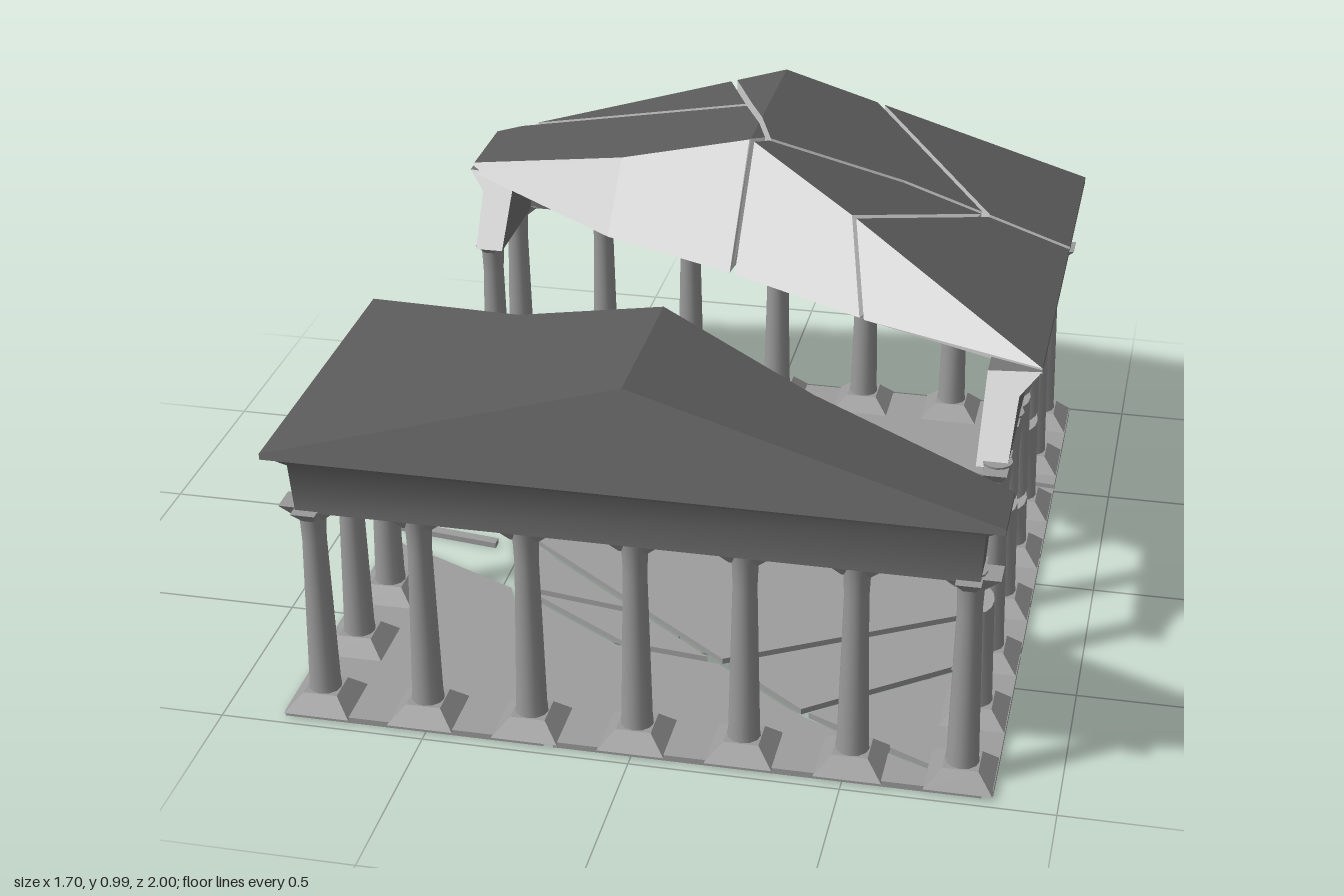
import * as THREE from 'three';
import { toCreasedNormals } from 'three/addons/utils/BufferGeometryUtils.js';

const paint = (color) => new THREE.MeshStandardMaterial({ color });
const broken = paint(0xcccccc), stone = paint(0x9a9a9a), floorStone = paint(0x9e9e9e);
const frieze = paint(0x767676), gable = paint(0x767676), tiles = paint(0x5a5a5a);

const X = 0.77, Z = 0.92;                        // lines of the beams
const roofY = (x) => 0.985 - 0.3 * Math.abs(x);  // gable slope

function add(group, name, geometry, material, x = 0, y = 0, z = 0) {
  const mesh = new THREE.Mesh(geometry, material);
  mesh.name = name;
  mesh.position.set(x, y, z);
  group.add(mesh);
}

// Closed solid between two matching loops, returned as one geometry per part.
// partOf receives 'top', 'bottom' or the index of a side and names its part.
function solid(a, b, outline2D, partOf) {
  const faces = [];
  for (const [i, j, k] of THREE.ShapeUtils.triangulateShape(outline2D, [])) {
    faces.push([partOf('top'), a[k], a[j], a[i]], [partOf('bottom'), b[i], b[j], b[k]]);
  }
  a.forEach((p, i) => {
    const j = (i + 1) % a.length;
    faces.push([partOf(i), p, a[j], b[j]], [partOf(i), p, b[j], b[i]]);
  });
  const cross = new THREE.Vector3();
  const volume = faces.reduce((s, [, p, q, r]) => s + p.dot(cross.crossVectors(q, r)), 0);
  const points = {};
  for (const [part, p, q, r] of faces) {
    (points[part] ??= []).push(...(volume < 0 ? [p, r, q] : [p, q, r]));
  }
  return Object.entries(points).map(([part, list]) => {
    const geometry = new THREE.BufferGeometry().setFromPoints(list);
    geometry.computeVertexNormals();
    return [part, geometry];
  });
}

// Pull the edges of a plan polygon inward, except those on the outer border
const onBorder = (p, q, zMax) =>
  (Math.abs(p[0]) === 0.85 && p[0] === q[0]) || (Math.abs(p[1]) === zMax && p[1] === q[1]);
function inset(points, gap, zMax) {
  const pts = points.map(([x, z, dx = 0, dz = 0]) => [x, z, dx, dz]);
  if (THREE.ShapeUtils.isClockWise(pts.map((p) => new THREE.Vector2(p[0], p[1])))) pts.reverse();
  const n = pts.length;
  const edges = pts.map((p, i) => {
    const q = pts[(i + 1) % n];
    const ex = q[0] - p[0], ez = q[1] - p[1], l = Math.hypot(ex, ez);
    return { x: -ez / l, z: ex / l, d: onBorder(p, q, zMax) ? 0 : gap };
  });
  return pts.map((p, i) => {
    const e = edges[(i + n - 1) % n], f = edges[i];
    const det = e.x * f.z - e.z * f.x;
    if (Math.abs(det) < 0.1) return [p[0] + f.x * f.d, p[1] + f.z * f.d, p[2], p[3]];
    return [p[0] + (e.d * f.z - f.d * e.z) / det, p[1] + (e.x * f.d - f.x * e.d) / det, p[2], p[3]];
  });
}

// Keep the part of a polygon on one side of the ridge
function clip(pts, side) {
  const out = [];
  pts.forEach((p, i) => {
    const q = pts[(i + 1) % pts.length];
    const a = p[0] * side, b = q[0] * side;
    if (a >= 0) out.push(p);
    if ((a > 0 && b < 0) || (a < 0 && b > 0)) out.push(p.map((v, k) => v + (q[k] - v) * a / (a - b)));
  });
  return out;
}

// Slab from a plan polygon; a point may carry a shift for its lower corner
function slab(pts, top, bottom, partOf) {
  return solid(
    pts.map(([x, z]) => new THREE.Vector3(x, top(x), z)),
    pts.map(([x, z, dx, dz]) => new THREE.Vector3(x + dx, bottom, z + dz)),
    pts.map(([x, z]) => new THREE.Vector2(x, z)), partOf);
}

// Entablature beam with a flared cornice: outward offset and height
const beamProfile = [[-0.05, 0.555], [0.025, 0.555], [0.033, 0.68], [0.08, 0.725], [-0.05, 0.72]];
const lerpCut = ([low, high], y) => low + (high - low) * (y - 0.555) / 0.17;
// An end is either the number of a corner (mitred) or a [lower, upper] cut
function beam(axis, side, start, end) {
  const loop = (e) => beamProfile.map(([u, y]) => {
    const along = Array.isArray(e) ? lerpCut(e, y) : e + Math.sign(e) * u;
    return axis === 'x' ? new THREE.Vector3(along, y, side * (Z + u)) : new THREE.Vector3(side * (X + u), y, along);
  });
  const outline = beamProfile.map((p) => new THREE.Vector2(...p));
  return solid(loop(start), loop(end), outline, (face) => (typeof face === 'string' ? 'beamEnd' : 'beam'));
}

// Column drum between two heights; broken ends are slanted
const shaft = [[0, 0.046], [0.07, 0.038], [0.46, 0.029], [0.51, 0.031], [0.565, 0.037]];
function radiusAt(y) {
  const i = Math.max(1, shaft.findIndex(([h]) => h >= y));
  const [y0, r0] = shaft[i - 1], [y1, r1] = shaft[i];
  return r0 + (r1 - r0) * (y - y0) / (y1 - y0);
}
function drum(y0, y1) {
  const heights = [y0, ...shaft.map((s) => s[0]).filter((h) => h > y0 && h < y1), y1];
  const profile = [[0, y0], ...heights.map((h) => [radiusAt(h), h]), [0, y1]];
  const geometry = new THREE.LatheGeometry(profile.map((p) => new THREE.Vector2(...p)), 12);
  const pos = geometry.attributes.position;
  for (let i = 0; i < pos.count; i++) {
    const y = pos.getY(i);
    const slanted = (Math.abs(y - y0) < 1e-5 && y0 > 0) || (Math.abs(y - y1) < 1e-5 && y1 < 0.56);
    if (slanted) pos.setY(i, y - 0.6 * pos.getZ(i));
  }
  return toCreasedNormals(geometry, 0.7);
}

// Square block that widens from one end to the other
function flare(topHalf, bottomHalf, height) {
  const s = Math.SQRT2;
  return new THREE.CylinderGeometry(topHalf * s, bottomHalf * s, height, 4).rotateY(Math.PI / 4);
}

function column(group, x, z, drums = [[0, 0.565]]) {
  const col = new THREE.Group();
  col.name = 'column';
  col.position.set(x, 0, z);
  add(col, 'columnBase', toCreasedNormals(flare(0.042, 0.08, 0.04), 0.3), stone, 0, 0.033, 0);
  for (const [y0, y1] of drums) add(col, 'columnShaft', drum(y0, y1), stone);
  // Brackets spread along the beam above
  if (drums.at(-1)[1] > 0.56) {
    const alongX = Math.abs(z) > 0.85, alongZ = Math.abs(x) > 0.75;
    if (alongX) add(col, 'bracket', toCreasedNormals(flare(0.07, 0.034, 0.035).scale(1, 1, 0.5), 0.3), stone, 0, 0.542, 0);
    if (alongZ) add(col, 'bracket', toCreasedNormals(flare(0.07, 0.034, 0.035).scale(0.42, 1, 1), 0.3), stone, 0, 0.542, 0);
  }
  group.add(col);
}

export function createModel() {
  const model = new THREE.Group();
  model.name = 'ruinedTemple';

  // Cracked floor, given as plan polygons [x, z]
  const floor = [
    [[-0.85, -0.97], [0.85, -0.97], [0.85, -0.5], [0.35, -0.55], [-0.85, -0.36]],
    [[-0.85, -0.36], [0.35, -0.55], [0.85, -0.5], [0.85, -0.12], [0.37, -0.04], [0.13, -0.02], [-0.5, -0.14],
      [-0.72, -0.145], [-0.85, -0.27]],
    [[-0.72, -0.145], [-0.5, -0.14], [0.13, -0.02], [0.37, -0.04], [0.85, -0.12], [0.85, 0.13], [0.13, 0.55], [-0.57, 0]],
    [[0.13, 0.55], [0.85, 0.13], [0.85, 0.35], [0.5, 0.62], [0.36, 0.73]],
    [[0.36, 0.73], [0.5, 0.62], [0.85, 0.35], [0.85, 0.97]],
    [[-0.57, 0], [-0.1, 0.37], [-0.46, 0.31]],
    [[-0.46, 0.31], [-0.1, 0.37], [0.13, 0.55], [-0.13, 0.52]],
    [[-0.46, 0.31], [-0.13, 0.52], [0.13, 0.55], [0.36, 0.73], [0.85, 0.97], [-0.2, 0.97]],
    [[-0.85, 0.13], [-0.69, 0.2], [-0.46, 0.31], [-0.2, 0.97], [-0.85, 0.97]],
    [[-0.85, 0.03], [-0.56, 0.07], [-0.56, 0.12], [-0.85, 0.08]],
  ];
  for (const p of floor) {
    const parts = slab(inset(p, 0.011, 0.97), () => 0.015, 0, () => 'floorSlab');
    for (const [name, geometry] of parts) add(model, name, geometry, floorStone);
  }

  // Colonnade: full rows front and back
  for (const z of [0.9, -0.9]) {
    for (let i = -3; i <= 3; i++) column(model, i * X / 3, z);
  }
  // Left and right rows, with cracked drums and two stumps
  const sideRow = {
    0.64: [[0, 0.33]], 0.39: undefined, 0.13: [[0, 0.31], [0.34, 0.565]],
    '-0.13': [[0, 0.18], [0.21, 0.475], [0.505, 0.565]], '-0.38': [[0, 0.28], [0.31, 0.565]], '-0.64': undefined,
  };
  for (const [z, drums] of Object.entries(sideRow)) column(model, X, Number(z), drums);
  for (const z of [0.64, 0.39, -0.64]) column(model, -X, z);
  column(model, -X, -0.39, [[0, 0.12]]);

  // Beams around the top of the columns
  const beams = [
    ['x', 1, -X, X], ['x', -1, -X, X],
    ['z', 1, Z, [0.85, 0.83]], ['z', -1, Z, [0.32, 0.22]],
    ['z', -1, -Z, [-0.56, -0.72]], ['z', 1, -Z, [-0.51, -0.52]],
    ['z', 1, [-0.48, -0.495], [-0.3, -0.49]], ['z', 1, [-0.26, -0.45], [0.41, 0.22]],
  ];
  for (const b of beams) {
    for (const [name, geometry] of beam(...b)) {
      add(model, name, toCreasedNormals(geometry, 0.8), name === 'beam' ? frieze : broken);
    }
  }

  // Roof shards [x, z, lower corner shift]; broken edges slope inward
  const b0 = [-0.85, -0.75, 0, 0.03], b1 = [-0.37, -0.53, 0, 0.17], b2 = [0, -0.46, 0, 0.26];
  const b3 = [0.31, -0.23, 0.06, 0.23], b4 = [0.85, 0.22];
  const c1 = [-0.06, -0.76], c2 = [0.04, -0.51], c3 = [0.4, -0.55], c4 = [0.63, -0.53], c5 = [0.85, -0.51];
  const roof = [
    [[-0.85, -1], [-0.75, -1], c1, c2, b2, b1, b0],
    [[-0.75, -1], [-0.15, -1], c1],
    [[-0.15, -1], [0.27, -1], c4, c3, c2, c1],
    [[0.27, -1], [0.85, -1], c5, c4],
    [b2, c2, c3, c4, b3],
    [c4, c5, b4, b3],
    [[-0.85, 0.15], [-0.38, 0.45], [0, 0.57], [0.38, 0.72], [0.85, 0.82], [0.85, 1], [-0.85, 1]],
  ];
  const roofPaint = { roofTiles: tiles, ceiling: stone, gable, brokenEdge: broken };
  for (const p of roof) {
    const shard = inset(p, 0.008, 1);
    for (const side of [-1, 1]) {
      const half = clip(shard, side);
      if (half.length < 3) continue;
      const partOf = (face) => {
        if (face === 'top') return 'roofTiles';
        if (face === 'bottom') return 'ceiling';
        return onBorder(half[face], half[(face + 1) % half.length], 1) ? 'gable' : 'brokenEdge';
      };
      for (const [name, geometry] of slab(half, roofY, 0.715, partOf)) add(model, name, geometry, roofPaint[name]);
    }
  }
  return model;
}
